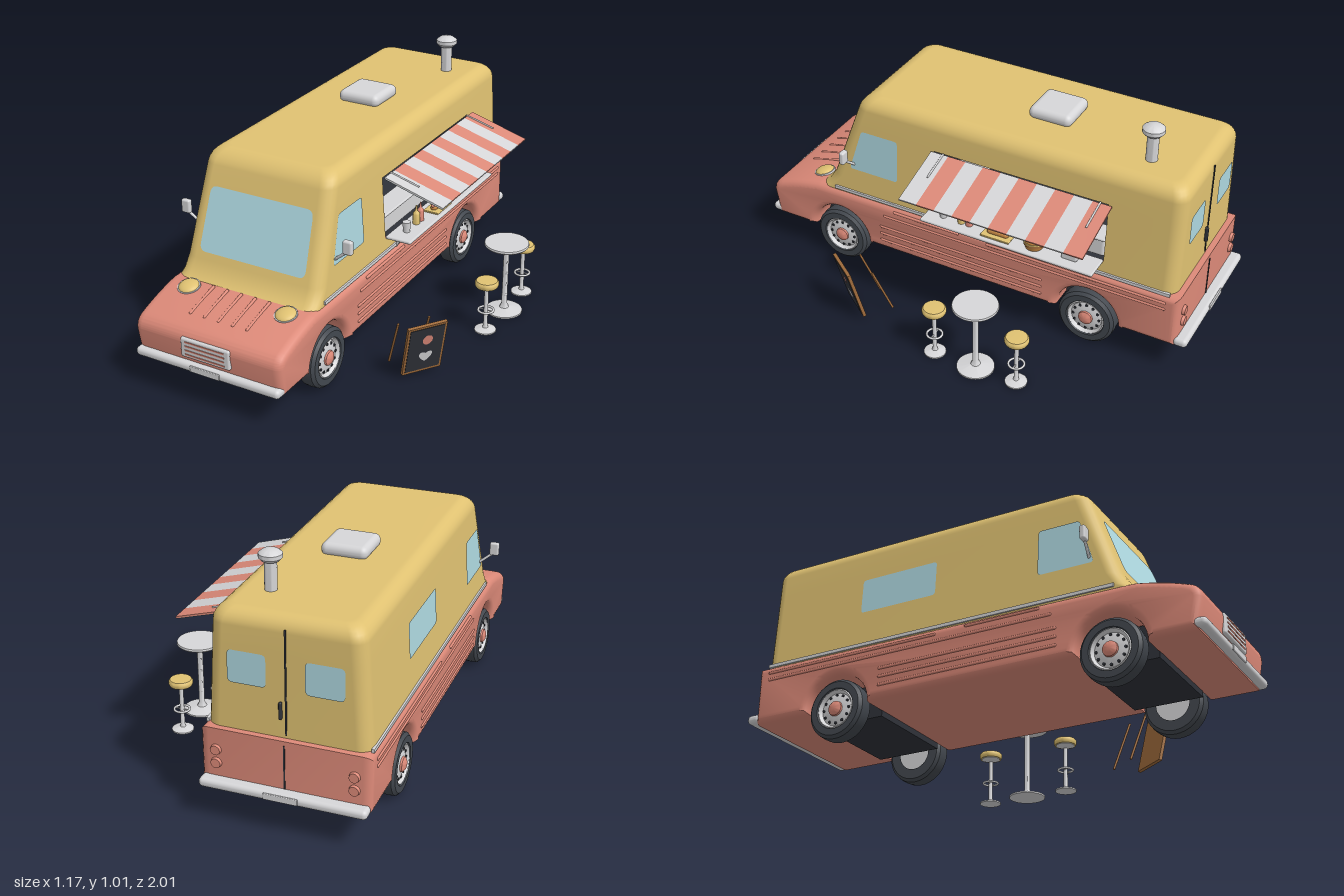
import * as THREE from 'three';
import { toCreasedNormals } from 'three/addons/utils/BufferGeometryUtils.js';
import { RoundedBoxGeometry } from 'three/addons/geometries/RoundedBoxGeometry.js';

const V = (x, y, z) => new THREE.Vector3(x, y, z);
const CX = -0.19; // centre line of the van

export function createModel() {
  const root = new THREE.Group();
  root.name = 'foodTruck';
  const make = (name, color, both) => {
    const m = new THREE.MeshStandardMaterial({ color });
    m.name = name;
    if (both) m.side = THREE.DoubleSide;
    return m;
  };
  const yellow = make('yellowPaint', 0xe0c272);
  const pink = make('pinkPaint', 0xdd8a79);
  const glass = make('glass', 0xaed8e0, true);
  const grey = make('lightGrey', 0xd6d6d8);
  const dark = make('darkInterior', 0x2f3239, true);
  const rubber = make('rubber', 0x43484f);
  const wood = make('wood', 0xa06c3c);
  const lining = make('awningLining', 0x6f8f92);
  const bun = make('bun', 0xc98a45);

  const add = (name, geo, mat, x = 0, y = 0, z = 0, parent = root) => {
    const m = new THREE.Mesh(geo, mat);
    m.name = name;
    m.position.set(x, y, z);
    parent.add(m);
    return m;
  };
  const group = (name, x = 0, y = 0, z = 0, parent = root) => {
    const g = new THREE.Group();
    g.name = name;
    g.position.set(x, y, z);
    parent.add(g);
    return g;
  };
  const box = (w, h, d) => new THREE.BoxGeometry(w, h, d);
  const rbox = (w, h, d, r) => new RoundedBoxGeometry(w, h, d, 4, r);
  const cyl = (r1, r2, h, n = 28) => new THREE.CylinderGeometry(r1, r2, h, n);
  const lathe = (pts, n = 32) => toCreasedNormals(
    new THREE.LatheGeometry(pts.map(p => new THREE.Vector2(p[0], p[1])), n), 0.7);
  const rod = (name, a, b, r, mat, parent = root) => {
    const m = add(name, cyl(r, r, a.distanceTo(b), 10), mat, 0, 0, 0, parent);
    m.position.copy(a).add(b).multiplyScalar(0.5);
    m.quaternion.setFromUnitVectors(V(0, 1, 0), b.clone().sub(a).normalize());
    return m;
  };

  // Lower body: side profile with wheel arches, extruded across the van
  const wheelZ = [0.63, -0.56];
  const prof = new THREE.Shape();
  prof.moveTo(-0.955, 0.135);
  for (const z of [-0.56, 0.63]) {
    prof.lineTo(z - 0.14, 0.135);
    prof.absarc(z, 0.135, 0.14, Math.PI, 0, true);
  }
  prof.lineTo(0.965, 0.135);
  prof.lineTo(0.985, 0.25);
  prof.quadraticCurveTo(0.99, 0.3, 0.94, 0.318);
  prof.quadraticCurveTo(0.84, 0.355, 0.73, 0.372);
  prof.lineTo(-0.955, 0.378);
  const lower = new THREE.ExtrudeGeometry(prof, {
    depth: 0.6, bevelThickness: 0.035, bevelSize: 0.03, bevelOffset: -0.03, bevelSegments: 4, curveSegments: 20 });
  lower.rotateY(-Math.PI / 2).translate(CX + 0.3, 0, 0);
  add('lowerBody', toCreasedNormals(lower, 0.6), pink);

  // Upper body: rounded rings stacked upward, with the serving hatch left open
  const halfW = y => 0.32 - (y - 0.37) * 0.058;
  const frontZ = y => 0.66 - (y - 0.47) * 0.36;
  const hatch = { z0: 0.16, z1: -0.62, y0: 0.44, y1: 0.705 };
  const rows = [[0.36, 0, 0.045], [0.385, 0, 0.015], [hatch.y0, 0, 0], [hatch.y1, 0, 0]];
  for (let k = 0; k <= 6; k++) {
    const t = k / 6 * Math.PI / 2;
    rows.push([0.795 + 0.06 * Math.sin(t), 0.06 * (1 - Math.cos(t)), 0]);
  }
  const pos = [], idx = [];
  let n = 0;
  for (const [y, inset, flare] of rows) {
    const w = halfW(y) - inset, f = frontZ(y) + flare - inset, b = -0.93 + inset, r = 0.055 - inset * 0.3;
    const ring = [];
    const corner = (cx, cz, a0) => {
      for (let k = 0; k <= 5; k++) {
        const a = a0 - k / 5 * Math.PI / 2;
        ring.push([cx + r * Math.cos(a), cz + r * Math.sin(a)]);
      }
    };
    corner(w - r, f - r, Math.PI / 2);
    ring.push([w, hatch.z0], [w, hatch.z1]);
    corner(w - r, b + r, 0);
    corner(r - w, b + r, -Math.PI / 2);
    corner(r - w, f - r, Math.PI);
    n = ring.length;
    ring.forEach(p => pos.push(CX + p[0], y, p[1]));
  }
  for (let j = 0; j < rows.length - 1; j++) for (let i = 0; i < n; i++) {
    if (j === 2 && i === 6) continue; // hatch
    const a = j * n + i, b = j * n + (i + 1) % n;
    idx.push(a, b, b + n, a, b + n, a + n);
  }
  const top = (rows.length - 1) * n;
  pos.push(CX, 0.855, -0.2);
  for (let i = 0; i < n; i++) idx.push(top + n, top + i, top + (i + 1) % n);
  const shell = new THREE.BufferGeometry();
  shell.setAttribute('position', new THREE.Float32BufferAttribute(pos, 3));
  shell.setIndex(idx);
  shell.computeVertexNormals();
  add('upperBody', shell, yellow);

  // Thin plates that follow the walls; corners of the outline are rounded
  const plate = (name, pts, r, mat, map) => {
    const s = new THREE.Shape(), p = pts.map(q => new THREE.Vector2(q[0], q[1]));
    p.forEach((c, i) => {
      const toward = q => c.clone().add(q.clone().sub(c).setLength(r));
      const a = toward(p[(i + p.length - 1) % p.length]), b = toward(p[(i + 1) % p.length]);
      if (i) s.lineTo(a.x, a.y); else s.moveTo(a.x, a.y);
      s.quadraticCurveTo(c.x, c.y, b.x, b.y);
    });
    const g = new THREE.ShapeGeometry(s, 5), a = g.attributes.position;
    for (let i = 0; i < a.count; i++) a.setXYZ(i, ...map(a.getX(i), a.getY(i)));
    g.computeVertexNormals();
    return add(name, g, mat);
  };
  const rect = (x0, x1, y0, y1) => [[x0, y0], [x1, y0], [x1, y1], [x0, y1]];
  const onSide = s => (z, y) => [CX + s * (halfW(y) + 0.004), y, z];
  plate('windshield', [[-0.435, 0.47], [0.055, 0.47], [0.045, 0.72], [-0.425, 0.72]], 0.03, glass,
    (x, y) => [x, y, frontZ(y) + 0.004]);
  for (const s of [1, -1]) {
    plate('cabWindow', [[0.335, 0.5], [0.57, 0.5], [0.51, 0.695], [0.335, 0.695]], 0.015, glass, onSide(s));
    const x = CX + s * 0.15;
    plate('rearWindow', rect(x - 0.075, x + 0.075, 0.57, 0.7), 0.02, glass, (u, v) => [u, v, -0.934]);
    add('sideTrim', box(0.012, 0.014, 1.56), grey, CX + s * 0.321, 0.381, -0.13);
    // Pressed ribs along the flanks
    for (const [y, z0, z1] of [[0.35, 0.35, 0.03], [0.345, -0.1, -0.9], [0.315, 0.4, -0.9],
      [0.255, 0.42, -0.36], [0.22, 0.42, -0.36], [0.185, 0.42, -0.36]])
      add('sideRib', rbox(0.012, 0.012, z0 - z1, 0.005), pink, CX + s * 0.334, y, (z0 + z1) / 2);
    // Mirrors, headlights and tail lights
    rod('mirrorArm', V(CX + s * 0.308, 0.52, 0.55), V(CX + s * 0.375, 0.575, 0.56), 0.006, grey);
    add('mirror', rbox(0.04, 0.058, 0.024, 0.008), grey, CX + s * 0.375, 0.592, 0.56);
    const lamp = group('headlight', CX + s * 0.225, 0.362, 0.77);
    lamp.rotation.x = 0.25;
    add('lampRim', cyl(0.046, 0.048, 0.014), grey, 0, 0, 0, lamp);
    add('lamp', new THREE.SphereGeometry(0.042, 24, 12).scale(1, 0.4, 1), yellow, 0, 0.005, 0, lamp);
    for (const y of [0.235, 0.29])
      add('tailLight', cyl(0.019, 0.022, 0.014, 20).rotateX(-Math.PI / 2), pink, CX + s * 0.27, y, -0.96);
  }
  plate('farWindow', rect(-0.47, -0.12, 0.53, 0.68), 0.015, glass, onSide(-1));
  add('doorSeam', box(0.006, 0.42, 0.006), dark, CX, 0.6, -0.931);
  add('lowerDoorSeam', box(0.006, 0.18, 0.006), dark, CX, 0.27, -0.955);
  add('doorHandle', rbox(0.012, 0.07, 0.016, 0.005), dark, CX + 0.02, 0.49, -0.936);

  // Bumpers, number plates, grille and hood vents
  for (const [z, s] of [[0.968, 1], [-0.97, -1]]) {
    add('bumper', rbox(0.66, 0.038, 0.06, 0.017), grey, CX, 0.16, z);
    add('numberPlate', rbox(0.135, 0.026, 0.008, 0.003), grey, CX, 0.162, z + s * 0.03);
  }
  add('grille', rbox(0.225, 0.085, 0.02, 0.009), grey, CX, 0.242, 0.982);
  for (let i = 0; i < 4; i++) add('grilleSlot', box(0.18, 0.006, 0.006), pink, CX, 0.215 + i * 0.018, 0.991);
  for (let i = -2; i <= 2; i++)
    add('hoodVent', rbox(0.012, 0.018, 0.17, 0.005), pink, CX + i * 0.065, 0.35, 0.815).rotation.x = 0.26;

  // Wheels and wheel wells
  for (const z of wheelZ) {
    add('wheelWell', box(0.42, 0.14, 0.285), dark, CX, 0.18, z);
    for (const s of [1, -1]) {
      const w = group('wheel', CX + s * 0.292, 0.128, z);
      w.rotation.z = -s * Math.PI / 2;
      add('tire', lathe([[0.07, -0.038], [0.112, -0.038], [0.124, -0.026], [0.126, 0], [0.124, 0.026],
        [0.112, 0.038], [0.085, 0.038], [0.08, 0.028]], 36), rubber, 0, 0, 0, w);
      add('rim', lathe([[0, -0.03], [0.075, -0.03], [0.084, 0.03], [0.078, 0.036], [0.068, 0.022],
        [0.045, 0.03], [0, 0.03]], 32), grey, 0, 0, 0, w);
      add('hub', lathe([[0.032, 0.025], [0.03, 0.038], [0.018, 0.046], [0, 0.048]], 20), pink, 0, 0, 0, w);
      for (let i = 0; i < 12; i++) {
        const a = i / 12 * Math.PI * 2;
        add('rimHole', cyl(0.006, 0.006, 0.008, 8), dark, 0.058 * Math.cos(a), 0.025, 0.058 * Math.sin(a), w);
      }
    }
  }

  // Roof vent and chimney
  add('roofVent', rbox(0.19, 0.055, 0.19, 0.026), grey, CX, 0.873, -0.255);
  add('chimney', lathe([[0.024, 0.84], [0.024, 0.965], [0.034, 0.97], [0.045, 0.982], [0.045, 0.998],
    [0.03, 1.01], [0, 1.016]]), grey, -0.05, 0, -0.72);

  // Kitchen behind the hatch
  const room = box(0.56, 0.29, 0.81);
  room.setIndex(Array.from(room.index.array).slice(6)); // open on the serving side
  room.clearGroups();
  add('kitchen', room, dark, -0.172, 0.571, -0.23);
  add('kitchenWindow', box(0.004, 0.13, 0.35), glass, -0.446, 0.605, -0.295);
  add('innerCounter', rbox(0.07, 0.09, 0.77, 0.015), grey, 0.075, 0.487, -0.23);
  add('counterTop', rbox(0.1, 0.012, 0.78, 0.005), grey, 0.075, 0.535, -0.23);
  add('coffeeMachine', rbox(0.1, 0.09, 0.1, 0.01), grey, -0.05, 0.585, 0.055);
  for (const z of [-0.37, -0.48]) add('pan', cyl(0.045, 0.04, 0.03), rubber, 0.05, 0.558, z);

  // Serving shelf and food
  add('servingShelf', rbox(0.115, 0.014, 0.78, 0.006), grey, 0.182, 0.441, -0.23);
  for (const z of [0.08, -0.54]) {
    rod('shelfBrace', V(0.13, 0.37, z), V(0.168, 0.437, z), 0.006, grey);
    rod('shelfMount', V(0.133, 0.37, z), V(0.133, 0.437, z), 0.005, grey);
  }
  add('cup', cyl(0.018, 0.014, 0.045, 20), grey, 0.18, 0.47, 0.08);
  [[yellow, -0.005], [pink, -0.042]].forEach(([m, z]) => add('sauceBottle', lathe([[0, 0.448], [0.015, 0.448],
    [0.015, 0.495], [0.006, 0.506], [0.003, 0.53], [0, 0.53]], 16), m, 0.18, 0, z));
  add('tray', rbox(0.07, 0.008, 0.13, 0.003), yellow, 0.19, 0.453, -0.18);
  add('hotDogBun', new THREE.CapsuleGeometry(0.014, 0.07, 6, 14).rotateX(Math.PI / 2), bun, 0.19, 0.464, -0.18);
  add('sausage', new THREE.CapsuleGeometry(0.008, 0.09, 6, 12).rotateX(Math.PI / 2), pink, 0.19, 0.477, -0.18);
  const burger = group('burger', 0.18, 0.448, -0.34);
  add('bottomBun', cyl(0.042, 0.036, 0.018), bun, 0, 0.009, 0, burger);
  add('patty', cyl(0.044, 0.044, 0.012), wood, 0, 0.024, 0, burger);
  add('cheese', cyl(0.046, 0.046, 0.005), yellow, 0, 0.032, 0, burger);
  add('topBun', new THREE.SphereGeometry(0.043, 24, 10, 0, Math.PI * 2, 0, Math.PI / 2).scale(1, 0.75, 1),
    bun, 0, 0.034, 0, burger);
  add('napkinBox', rbox(0.04, 0.045, 0.07, 0.008), grey, 0.18, 0.47, -0.5);

  // Striped awning
  const awning = group('awning', 0.253, 0.668, -0.2375);
  awning.rotation.z = -Math.atan2(0.075, 0.26);
  const stripe = 0.0805;
  for (let i = 0; i < 10; i++)
    add('awningStripe', box(0.272, 0.007, stripe), i % 2 ? grey : pink, 0, 0.003, (i - 4.5) * stripe, awning);
  add('awningLining', box(0.268, 0.003, stripe * 9.95), lining, 0, -0.002, 0, awning);
  for (const z of [-0.59, 0.11]) rod('awningArm', V(0.12, 0.713, z), V(0.25, 0.677, z), 0.004, grey);

  // Table and stools
  const table = group('table', 0.49, 0, -0.24);
  add('tableTop', rbox(0.01, 0.01, 0.01, 0.003), grey, 0, 0.32, 0, table);
  add('tableStand', lathe([[0, 0.003], [0.078, 0.003], [0.078, 0.01], [0.02, 0.022], [0.012, 0.04], [0.012, 0.3],
    [0.03, 0.316], [0.09, 0.318], [0.095, 0.324], [0.093, 0.332], [0, 0.332]], 36), grey, 0, 0, 0, table);
  for (const z of [-0.05, -0.425]) {
    const stool = group('stool', 0.49, 0, z);
    add('stoolStand', lathe([[0, 0.003], [0.046, 0.003], [0.046, 0.009], [0.012, 0.018], [0.009, 0.03],
      [0.009, 0.2], [0.04, 0.212], [0.04, 0.218], [0, 0.218]], 24), grey, 0, 0, 0, stool);
    add('footRing', new THREE.TorusGeometry(0.032, 0.005, 8, 24).rotateX(Math.PI / 2), grey, 0, 0.1, 0, stool);
    rod('footRingBar', V(-0.03, 0.1, 0), V(0.03, 0.1, 0), 0.003, grey, stool);
    add('stoolSeat', lathe([[0, 0.214], [0.046, 0.214], [0.05, 0.222], [0.05, 0.233], [0.044, 0.241], [0, 0.243]]),
      yellow, 0, 0, 0, stool);
  }

  // Leaning menu board with its two rear legs
  const board = group('menuBoard', 0.431, 0.139, 0.398);
  const up = V(0.047, 0.238, 0.035).normalize(), across = V(0.58, 0, -0.81);
  across.addScaledVector(up, -across.dot(up)).normalize();
  board.quaternion.setFromRotationMatrix(
    new THREE.Matrix4().makeBasis(across, up, across.clone().cross(up)));
  add('boardFrame', box(0.17, 0.245, 0.014), wood, 0, 0, 0, board);
  add('boardFace', box(0.15, 0.222, 0.004), dark, 0, 0.002, 0.007, board);
  add('drawnBurger', new THREE.CircleGeometry(0.022, 20).scale(1, 1.1, 1), pink, 0.005, 0.05, 0.0105, board);
  const heart = new THREE.Shape();
  heart.moveTo(0, -0.03);
  heart.bezierCurveTo(-0.05, 0.005, -0.025, 0.035, 0, 0.014);
  heart.bezierCurveTo(0.025, 0.035, 0.05, 0.005, 0, -0.03);
  add('drawnHeart', new THREE.ShapeGeometry(heart), grey, 0.005, -0.035, 0.0105, board);
  rod('boardLeg', V(0.255, 0.005, 0.362), V(0.322, 0.22, 0.41), 0.005, wood);
  rod('boardLeg', V(0.335, 0.005, 0.25), V(0.402, 0.22, 0.3), 0.005, wood);
  return root;
}
